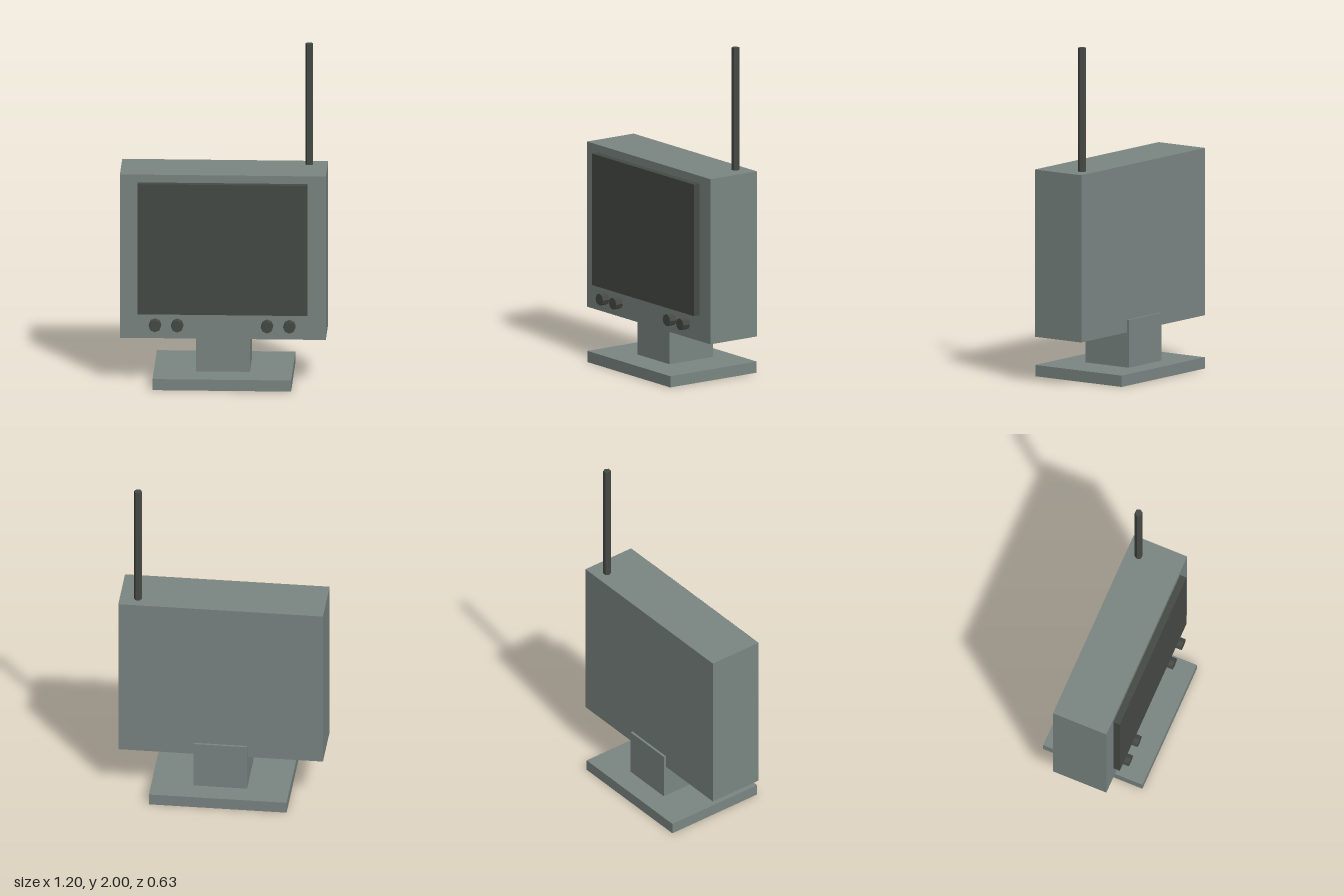
import * as THREE from 'three';

export function createModel() {
  const model = new THREE.Group();
  model.name = 'monitor';

  const casing = new THREE.MeshStandardMaterial({ color: 0x7a8582, flatShading: true });
  casing.name = 'grey casing';
  const dark = new THREE.MeshStandardMaterial({ color: 0x464a45, flatShading: true });
  dark.name = 'dark plastic';

  const add = (name, geometry, material, x, y, z) => {
    const mesh = new THREE.Mesh(geometry, material);
    mesh.name = name;
    mesh.position.set(x, y, z);
    model.add(mesh);
    return mesh;
  };

  // Box given by its extents on each axis
  const box = (name, material, [x0, x1], [y0, y1], [z0, z1]) =>
    add(name, new THREE.BoxGeometry(x1 - x0, y1 - y0, z1 - z0), material,
      (x0 + x1) / 2, (y0 + y1) / 2, (z0 + z1) / 2);

  // Stand
  box('base', casing, [-0.405, 0.405], [0, 0.067], [-0.315, 0.315]);
  box('neck', casing, [-0.157, 0.157], [0.067, 0.35], [-0.183, 0.135]);

  // Cabinet and raised screen
  box('cabinet', casing, [-0.602, 0.602], [0.275, 1.266], [-0.169, 0.17]);
  box('screen', dark, [-0.498, 0.496], [0.43, 1.219], [0.16, 0.211]);

  // Control knobs, standing just clear of the cabinet front
  const knob = new THREE.CylinderGeometry(0.036, 0.036, 0.048, 8);
  knob.rotateX(Math.PI / 2);
  [-0.395, -0.265, 0.26, 0.391].forEach((x, i) =>
    add(`knob${i + 1}`, knob, dark, x, 0.365, 0.212));

  // Six-sided aerial
  const aerial = new THREE.CylinderGeometry(0.023, 0.023, 0.75, 6);
  aerial.rotateY(Math.PI / 6);
  add('antenna', aerial, dark, 0.495, 1.625, -0.093);

  return model;
}
